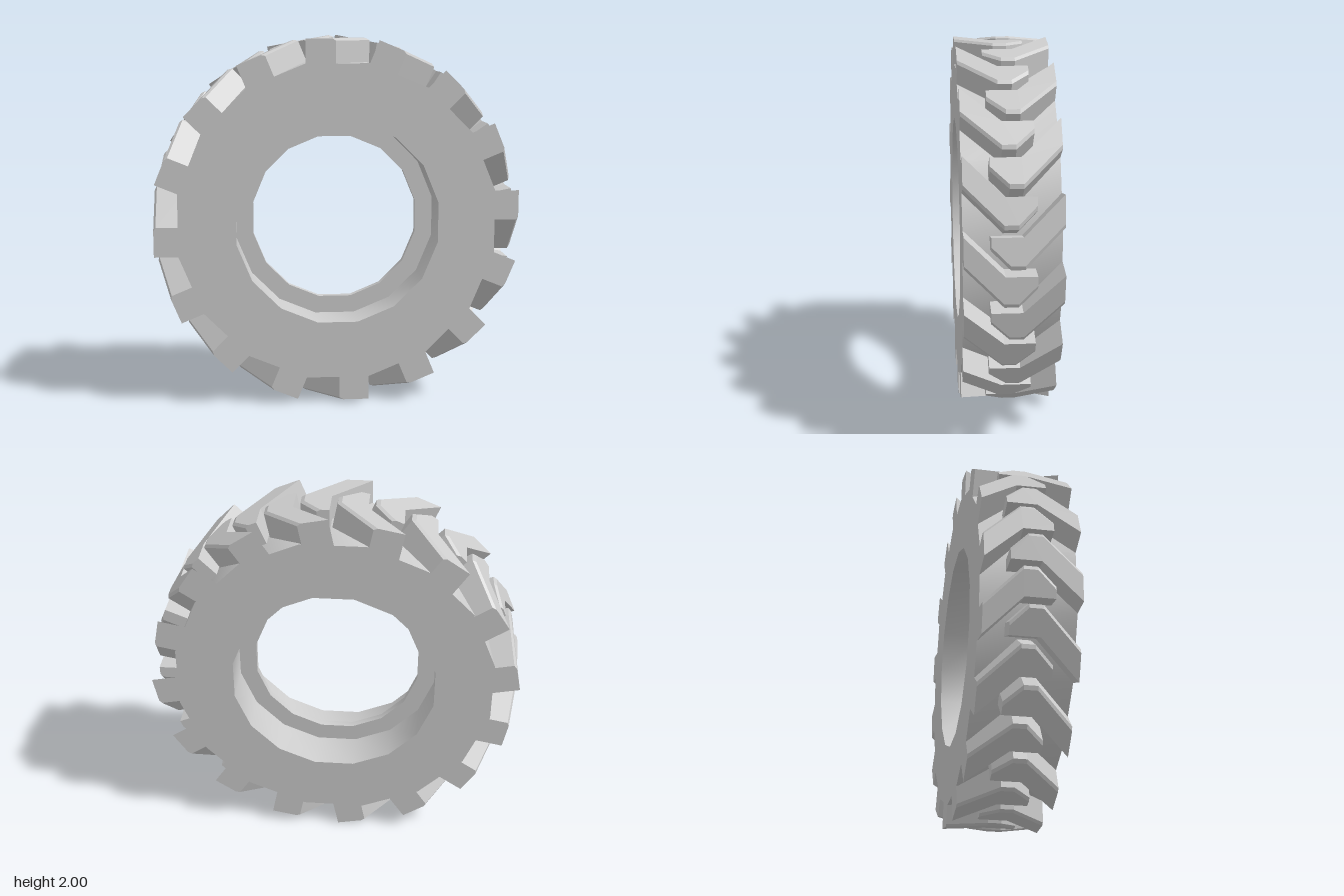
import * as THREE from 'three';
import { toCreasedNormals } from 'three/addons/utils/BufferGeometryUtils.js';

const SIDES = 16;          // lugs per side, and facets of the carcass
const HALF_WIDTH = 0.244;
const STEP = (Math.PI * 2) / SIDES;

const material = new THREE.MeshStandardMaterial({ color: 0xcccccc });

// Faceted ring with a thin flange inside the bore
function carcassGeometry() {
  const outer = 0.872, bore = 0.556, flange = 0.459, w = HALF_WIDTH, f = 0.02;
  const profile = [
    [outer, -w], [outer, w], [bore, w], [bore, f], [flange, f],
    [flange, -f], [bore, -f], [bore, -w], [outer, -w],
  ].map(([r, y]) => new THREE.Vector2(r, y));
  const geometry = new THREE.LatheGeometry(profile, SIDES, STEP / 2);
  geometry.rotateX(Math.PI / 2);
  return toCreasedNormals(geometry, Math.PI / 6);
}

// Hooked tread bar; side is 1 for the front row, -1 for the back row
function lugGeometry(side) {
  const outline = [
    [-0.17, HALF_WIDTH], [-0.01, HALF_WIDTH], [0.187, 0.05], [0.187, -0.02],
    [0.095, -0.112], [0.03, -0.112], [0.03, 0.044],
  ];
  const shape = new THREE.Shape(outline.map(([x, z]) => new THREE.Vector2(x, -z * side)));
  const geometry = new THREE.ExtrudeGeometry(shape, { depth: 1, steps: 2, bevelEnabled: false });
  geometry.rotateX(-Math.PI / 2);

  // Set the layer heights and chamfer the leading edge of the top
  const heights = [0.8, 0.973, 0.985];
  const p = geometry.attributes.position;
  for (let i = 0; i < p.count; i++) {
    const layer = Math.round(p.getY(i) * 2);
    const leading = p.getX(i) + Math.abs(p.getZ(i)) > 0.17;
    p.setY(i, heights[layer]);
    if (layer === 2 && leading) p.setX(i, p.getX(i) - 0.02);
  }
  geometry.computeVertexNormals();
  return geometry;
}

export function createModel() {
  const model = new THREE.Group();
  model.name = 'tractorTyre';

  const tyre = new THREE.Group();
  tyre.name = 'tyre';
  tyre.position.y = 1;
  model.add(tyre);

  const carcass = new THREE.Mesh(carcassGeometry(), material);
  carcass.name = 'carcass';
  tyre.add(carcass);

  // Two interlocking rows of lugs, the back row half a step on
  for (const side of [1, -1]) {
    const row = new THREE.Group();
    row.name = side > 0 ? 'frontLugs' : 'backLugs';
    const geometry = lugGeometry(side);
    for (let i = 0; i < SIDES; i++) {
      const lug = new THREE.Mesh(geometry, material);
      lug.name = 'lug';
      lug.rotation.z = -STEP * (i + (side > 0 ? 0 : 0.5));
      row.add(lug);
    }
    tyre.add(row);
  }
  return model;
}
